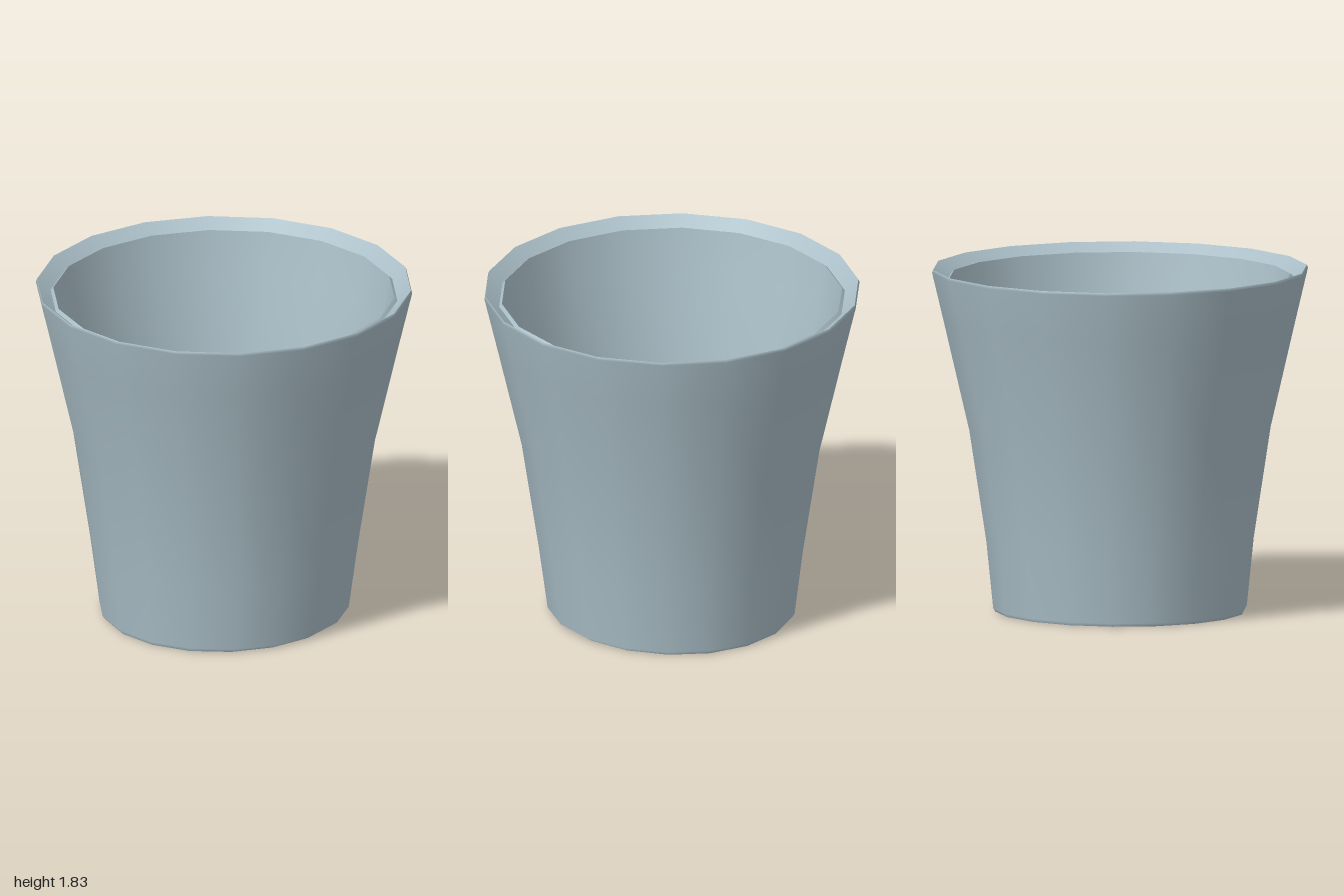
import * as THREE from 'three';

const SIDES = 18;

export function createModel() {
  const group = new THREE.Group();
  const paleBlueGrey = new THREE.MeshStandardMaterial({ color: 0xaabec7 });

  // Turn a profile of [radius, height] points; the foot is slightly narrower across x.
  function turned(name, profile) {
    const points = profile.map(([r, y]) => new THREE.Vector2(r, y));
    const geometry = new THREE.LatheGeometry(points, SIDES);
    const position = geometry.attributes.position;
    for (let i = 0; i < position.count; i++) {
      const y = position.getY(i);
      const squeeze = y < 0.01 ? 0.945 : y < 0.03 ? 0.972 : 1;
      position.setX(i, position.getX(i) * squeeze);
    }
    const mesh = new THREE.Mesh(geometry, paleBlueGrey);
    mesh.name = name;
    group.add(mesh);
  }

  // Flat underside
  turned('base', [[0, 0], [0.665, 0]]);

  // Flared outside wall, rolling over into the inward-sloping rim
  turned('outerWall', [
    [0.665, 0], [0.675, 0.02], [0.71, 0.38], [0.80, 0.97],
    [0.935, 1.55], [0.998, 1.815], [0.992, 1.83],
  ]);
  turned('rim', [[0.992, 1.83], [0.92, 1.77]]);

  // Small raised lip where the rim meets the inside
  turned('innerLip', [[0.92, 1.77], [0.905, 1.785]]);

  // Inside wall and floor
  turned('innerWall', [
    [0.905, 1.785], [0.86, 1.55], [0.735, 0.97], [0.655, 0.38], [0.615, 0.08],
  ]);
  turned('floor', [[0.615, 0.08], [0.59, 0.06], [0, 0.06]]);

  return group;
}
